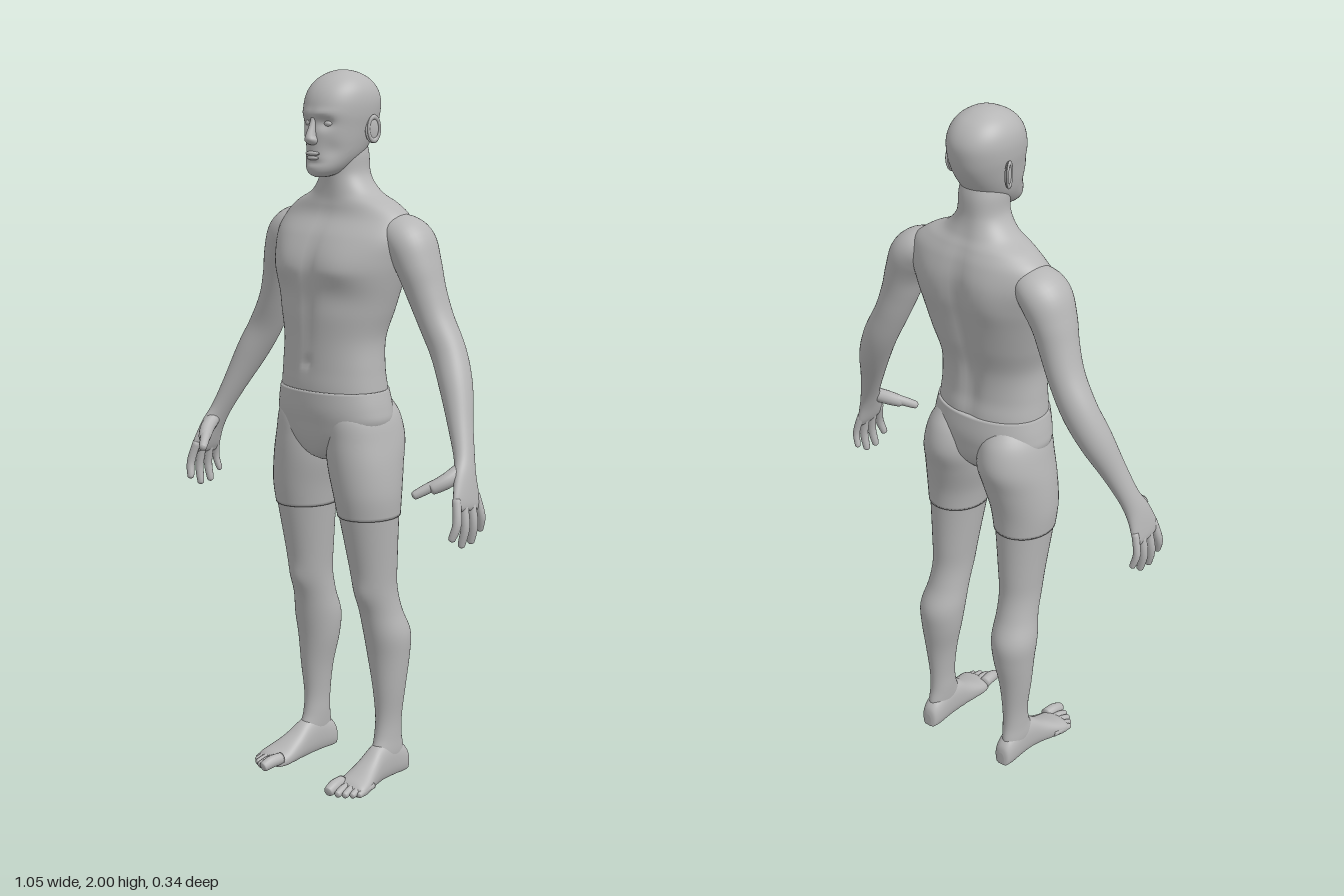
import * as THREE from 'three';

const skin = new THREE.MeshStandardMaterial({ color: 0xb6b6b6 });
skin.name = 'plain grey';

const V = (x, y, z) => new THREE.Vector3(x, y, z);
const UP = V(0, 1, 0), DOWN = V(0, -1, 0), FORWARD = V(0, 0, 1);
const bell = (d, s) => Math.exp(-(d * d) / (s * s));

// Catmull-Rom smoothing of a list of section rows
function smooth(rows, sub) {
  const out = [], n = rows.length;
  const at = i => rows[Math.max(0, Math.min(n - 1, i))];
  for (let i = 0; i < n - 1; i++) {
    for (let k = 0; k < sub; k++) {
      const t = k / sub, [a, b, c, d] = [at(i - 1), at(i), at(i + 1), at(i + 2)];
      out.push(b.map((_, j) => 0.5 * (2 * b[j] + (c[j] - a[j]) * t
        + (2 * a[j] - 5 * b[j] + 4 * c[j] - d[j]) * t * t
        + (3 * b[j] - a[j] - 3 * c[j] + d[j]) * t * t * t)));
    }
  }
  out.push(rows[n - 1]);
  return out;
}

// Skin over oval sections [cx, cy, cz, radiusA, radiusB]; axis fixes the section plane
function loft(rows, { axis = null, seg = 40, sub = 5, power = 2, shape = null } = {}) {
  const rings = smooth(rows, sub), pos = [], idx = [], m = rings.length;
  const centre = i => V(...rings[Math.max(0, Math.min(m - 1, i))].slice(0, 3));
  const put = p => { if (shape) shape(p); pos.push(p.x, p.y, p.z); };
  rings.forEach(([, , , a, b], i) => {
    const c = centre(i);
    const t = axis || centre(i + 1).sub(centre(i - 1)).normalize();
    const u = V(1, 0, 0).addScaledVector(t, -t.x).normalize();
    const v = t.clone().cross(u);
    for (let j = 0; j < seg; j++) {
      const w = j / seg * Math.PI * 2, cs = Math.cos(w), sn = Math.sin(w);
      const e = 2 / power;
      put(c.clone().addScaledVector(u, a * Math.sign(cs) * Math.abs(cs) ** e)
        .addScaledVector(v, b * Math.sign(sn) * Math.abs(sn) ** e));
    }
  });
  for (let i = 0; i < m - 1; i++) for (let j = 0; j < seg; j++) {
    const k = (j + 1) % seg, p = i * seg + j, q = i * seg + k;
    idx.push(p, q, q + seg, p, q + seg, p + seg);
  }
  put(centre(0)); put(centre(m - 1));
  const first = m * seg, base = (m - 1) * seg;
  for (let j = 0; j < seg; j++) {
    const k = (j + 1) % seg;
    idx.push(first, k, j, first + 1, base + j, base + k);
  }
  const g = new THREE.BufferGeometry();
  g.setAttribute('position', new THREE.Float32BufferAttribute(pos, 3));
  g.setIndex(idx);
  g.computeVertexNormals();
  return g;
}

// Horizontal sections: [y, xMin, xMax, zFront, zBack], optionally grown outward
const level = (rows, grow = 0) => rows.map(([y, x0, x1, zf, zb]) =>
  [(x0 + x1) / 2, y, (zf + zb) / 2, (x1 - x0) / 2 + grow, (zf - zb) / 2 + grow]);
const centred = rows => rows.map(([y, w, zf, zb]) => [y, -w, w, zf, zb]);

// Finger or toe with a rounded tip
function digit(a, b, c, r) {
  const A = V(...a), B = V(...b), C = V(...c), n = B.clone().lerp(C, 0.8);
  const row = (p, k) => [p.x, p.y, p.z, r * k, r * k];
  return loft([row(A, 1), row(B, 1.05), row(n, 0.88), row(B.clone().lerp(C, 0.95), 0.6), row(C, 0.15)],
    { seg: 14, sub: 4 });
}

function ball(x, y, z, rx, ry, rz, turn = 0) {
  return new THREE.SphereGeometry(1, 24, 16).scale(rx, ry, rz).rotateY(turn).translate(x, y, z);
}

function mirrored(geo) {
  const g = geo.clone().scale(-1, 1, 1), a = g.index.array;
  for (let i = 0; i < a.length; i += 3) [a[i], a[i + 1]] = [a[i + 1], a[i]];
  g.computeVertexNormals();
  return g;
}

// Chest, sternum, belly line, navel, spine and shoulder blades
function shapeTorso(p) {
  const ax = Math.abs(p.x);
  if (p.z > 0) {
    const drop = p.y < 1.475 ? bell(p.y - 1.475, 0.035) : bell(p.y - 1.475, 0.08);
    p.z += 0.012 * bell(ax - 0.095, 0.07) * drop;
    p.z -= 0.007 * bell(p.x, 0.018) * bell(p.y - 1.42, 0.16);
    p.z -= 0.01 * bell(p.x, 0.01) * bell(p.y - 1.215, 0.014);
    p.z -= 0.006 * bell(p.y - 1.4, 0.04) * bell(ax - 0.1, 0.08);
  } else if (p.z < -0.04) {
    p.z += 0.018 * bell(p.x, 0.028) * bell(p.y - 1.38, 0.23);
    p.z -= 0.007 * bell(ax - 0.1, 0.05) * bell(p.y - 1.52, 0.08);
  }
}

// Eye sockets, brow, cheeks and mouth
function shapeHead(p) {
  if (p.z < 0.02) return;
  const ax = Math.abs(p.x);
  p.z -= 0.014 * bell(ax - 0.034, 0.02) * bell(p.y - 1.862, 0.016);
  p.z += 0.005 * bell(ax - 0.025, 0.035) * bell(p.y - 1.888, 0.012);
  p.z -= 0.008 * bell(ax - 0.05, 0.02) * bell(p.y - 1.79, 0.025);
  p.z -= 0.005 * bell(p.x, 0.03) * bell(p.y - 1.757, 0.008);
}

export function createModel() {
  const model = new THREE.Group();
  const add = (name, geo) => {
    const mesh = new THREE.Mesh(geo, skin);
    mesh.name = name;
    model.add(mesh);
  };
  const pair = (name, geo) => {
    add('left ' + name, geo);
    add('right ' + name, mirrored(geo));
  };

  // Trunk and neck
  add('torso', loft(level(centred([
    [1.06, 0.17, 0.115, -0.115], [1.14, 0.164, 0.12, -0.114], [1.20, 0.159, 0.117, -0.106],
    [1.28, 0.157, 0.114, -0.11], [1.36, 0.178, 0.114, -0.132], [1.44, 0.20, 0.115, -0.15],
    [1.50, 0.215, 0.106, -0.162], [1.56, 0.225, 0.08, -0.163], [1.61, 0.208, 0.045, -0.152],
    [1.645, 0.165, 0.034, -0.137], [1.675, 0.105, 0.03, -0.122], [1.72, 0.068, 0.03, -0.11],
    [1.78, 0.062, 0.035, -0.106], [1.84, 0.05, 0.03, -0.09]])),
    { axis: UP, seg: 72, sub: 8, power: 2.15, shape: shapeTorso }));

  // Shorts seat
  add('shorts seat', loft(level(centred([
    [0.935, 0.02, 0.05, -0.03], [0.955, 0.06, 0.085, -0.07], [1.0, 0.14, 0.104, -0.108],
    [1.05, 0.176, 0.113, -0.118], [1.09, 0.175, 0.119, -0.12], [1.14, 0.164, 0.12, -0.114]]), 0.004),
    { axis: UP, seg: 56, power: 2.15 }));

  // Head and face
  add('head', loft(level(centred([
    [1.718, 0.014, 0.075, 0.03], [1.727, 0.034, 0.09, 0.0], [1.745, 0.05, 0.095, -0.03],
    [1.775, 0.065, 0.093, -0.08], [1.81, 0.075, 0.091, -0.11], [1.85, 0.083, 0.09, -0.132],
    [1.885, 0.089, 0.09, -0.141], [1.92, 0.09, 0.084, -0.142], [1.95, 0.083, 0.069, -0.13],
    [1.975, 0.066, 0.044, -0.107], [1.992, 0.04, 0.012, -0.075], [1.999, 0.016, -0.013, -0.047],
    [2.0, 0.003, -0.026, -0.032]])),
    { axis: UP, seg: 72, sub: 6, power: 2.15, shape: shapeHead }));
  add('nose', loft([
    [0, 1.878, 0.084, 0.008, 0.007], [0, 1.855, 0.089, 0.009, 0.012], [0, 1.83, 0.094, 0.013, 0.019],
    [0, 1.818, 0.094, 0.018, 0.02], [0, 1.808, 0.09, 0.014, 0.014], [0, 1.804, 0.088, 0.004, 0.005]],
    { axis: DOWN, seg: 20 }));
  add('upper lip', ball(0, 1.782, 0.09, 0.025, 0.006, 0.009));
  add('lower lip', ball(0, 1.77, 0.089, 0.021, 0.006, 0.009));
  pair('eye', ball(0.034, 1.861, 0.063, 0.014, 0.009, 0.012));
  pair('ear', ball(0.088, 1.843, -0.05, 0.007, 0.036, 0.021, -0.35));
  pair('ear rim', new THREE.TorusGeometry(0.018, 0.004, 8, 24).scale(0.95, 1.75, 1)
    .rotateY(Math.PI / 2 - 0.35).translate(0.094, 1.845, -0.052));

  // Arms, running from inside the shoulder to the knuckles
  pair('arm', loft([
    [0.15, 1.585, -0.06, 0.03, 0.05], [0.185, 1.573, -0.06, 0.053, 0.07],
    [0.222, 1.543, -0.06, 0.063, 0.077], [0.25, 1.485, -0.061, 0.056, 0.07],
    [0.272, 1.42, -0.066, 0.051, 0.059], [0.302, 1.345, -0.072, 0.047, 0.053],
    [0.346, 1.262, -0.073, 0.048, 0.05], [0.388, 1.18, -0.055, 0.044, 0.048],
    [0.43, 1.085, -0.025, 0.033, 0.037], [0.465, 1.005, 0.0, 0.025, 0.033],
    [0.484, 0.955, 0.018, 0.021, 0.042], [0.498, 0.905, 0.029, 0.016, 0.052],
    [0.504, 0.882, 0.032, 0.011, 0.049], [0.506, 0.874, 0.033, 0.004, 0.04]]));
  const fingers = [ // base z, tip y, tip z
    [0.07, 0.80, 0.094], [0.043, 0.775, 0.053], [0.014, 0.778, 0.013], [-0.012, 0.805, -0.026]];
  fingers.forEach(([z, y, tz], i) => pair('finger ' + (i + 1), digit(
    [0.497, 0.91, z], [0.511, (0.9 + y) / 2, (z + tz) / 2], [0.501, y, tz], i === 3 ? 0.01 : 0.0118)));
  pair('thumb base', digit([0.474, 0.98, 0.02], [0.462, 0.955, 0.06], [0.432, 0.93, 0.102], 0.02));
  pair('thumb', digit([0.462, 0.958, 0.062], [0.432, 0.937, 0.097], [0.402, 0.913, 0.136], 0.0135));

  // Legs and the short trouser legs over the thighs
  const leg = [
    [1.12, 0.04, 0.14, 0.06, -0.09], [1.07, 0.012, 0.172, 0.095, -0.127],
    [1.0, 0.002, 0.189, 0.1, -0.141], [0.93, 0.008, 0.2, 0.099, -0.122],
    [0.85, 0.028, 0.205, 0.092, -0.104], [0.785, 0.04, 0.2, 0.081, -0.099],
    [0.65, 0.058, 0.188, 0.053, -0.098], [0.57, 0.067, 0.183, 0.037, -0.099],
    [0.5, 0.07, 0.187, 0.015, -0.115], [0.43, 0.07, 0.2, 0.0, -0.142],
    [0.36, 0.078, 0.196, -0.013, -0.139], [0.27, 0.097, 0.187, -0.022, -0.125],
    [0.18, 0.108, 0.175, -0.029, -0.117], [0.12, 0.11, 0.173, -0.022, -0.118],
    [0.07, 0.114, 0.174, -0.005, -0.127], [0.03, 0.122, 0.166, -0.03, -0.12]];
  // Kneecap and shin
  const shapeLeg = p => {
    if (p.z > -0.05) p.z += 0.007 * bell(p.x - 0.125, 0.03) * bell(p.y - 0.555, 0.035);
  };
  pair('leg', loft(level(leg), { axis: DOWN, seg: 44, shape: shapeLeg }));
  pair('shorts leg', loft(level(leg.slice(0, 6), 0.004), { axis: DOWN, seg: 44 }));

  // Feet: sections along z as [z, xMin, xMax, yTop], flattened on the ground
  const foot = [
    [-0.143, 0.132, 0.154, 0.04], [-0.136, 0.118, 0.167, 0.065], [-0.11, 0.112, 0.173, 0.09],
    [-0.06, 0.111, 0.175, 0.112], [-0.015, 0.11, 0.178, 0.1], [0.03, 0.107, 0.19, 0.07],
    [0.075, 0.104, 0.205, 0.046], [0.105, 0.108, 0.208, 0.034], [0.12, 0.118, 0.195, 0.024]];
  pair('foot', loft(foot.map(([z, x0, x1, y]) =>
    [(x0 + x1) / 2, y / 2 - 0.006, z, (x1 - x0) / 2, y / 2 + 0.006]),
    { axis: FORWARD, power: 2.3, shape: p => { p.y = Math.max(p.y, 0.001); } }));
  const toes = [ // base x, tip x, tip z, radius
    [0.122, 0.13, 0.172, 0.017], [0.146, 0.155, 0.162, 0.0115], [0.163, 0.174, 0.152, 0.011],
    [0.18, 0.19, 0.138, 0.0105], [0.193, 0.202, 0.122, 0.01]];
  toes.forEach(([x, tx, z, r], i) => pair('toe ' + (i + 1), digit(
    [x, r + 0.006, z - 0.07], [(x + tx) / 2, r + 0.005, z - 0.035], [tx, r * 0.75, z], r)));

  return model;
}
